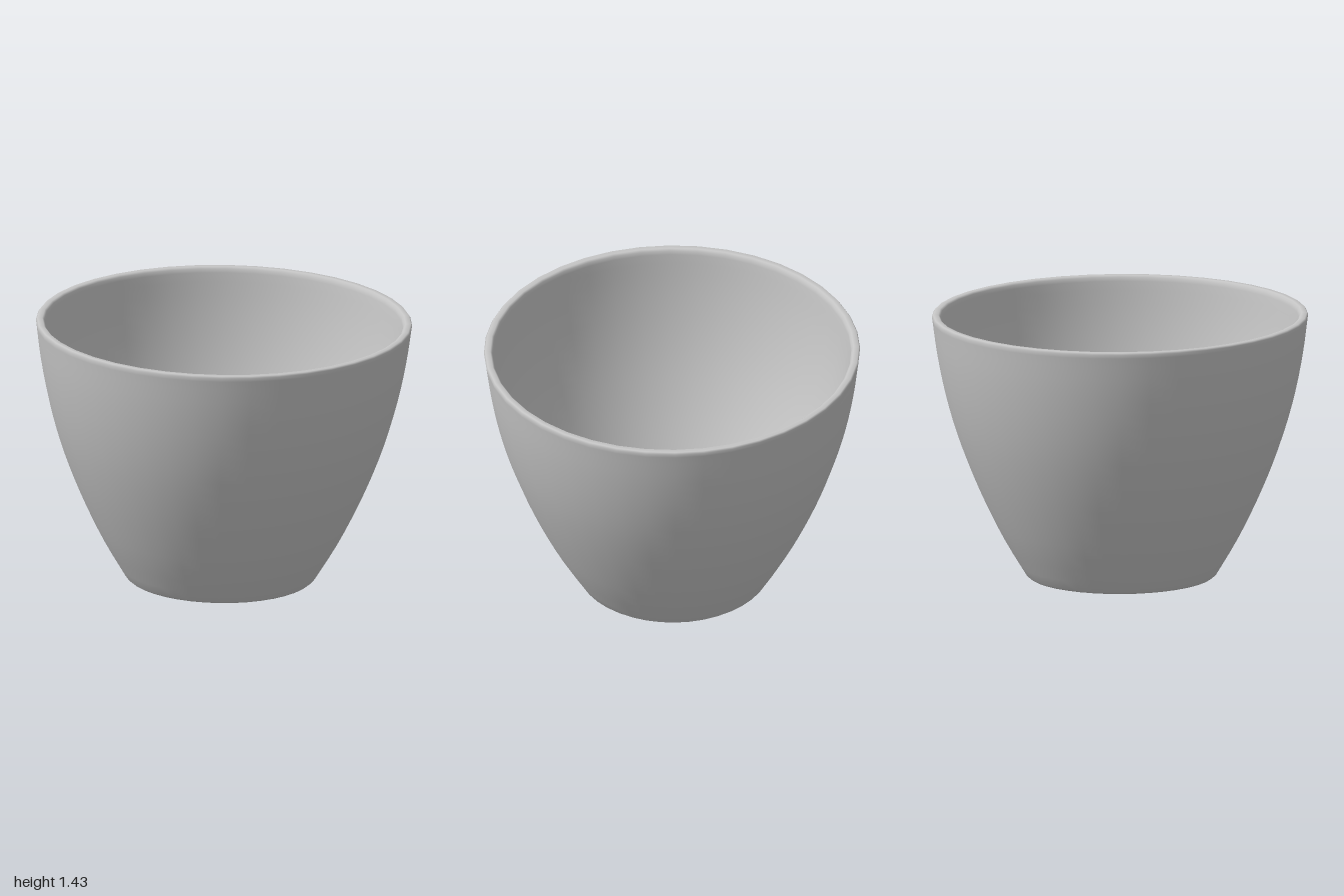
import * as THREE from 'three';
import { toCreasedNormals } from 'three/addons/utils/BufferGeometryUtils.js';

// The pot leans very slightly towards +x and +z.
function lean(geometry) {
  return geometry.translate(0, -0.7, 0).rotateZ(-0.012).rotateX(0.007).translate(0, 0.707, 0);
}

export function createModel() {
  const group = new THREE.Group();
  group.name = 'plantPot';
  const clay = new THREE.MeshStandardMaterial({ color: 0xc6c6c6 });
  clay.name = 'light grey clay';

  // Wall: recessed foot, curved outside, narrow rim, curved inside
  const outer = [[0.505, 0.012], [0.617, 0.2], [0.717, 0.4], [0.803, 0.6],
    [0.874, 0.8], [0.928, 1.0], [0.967, 1.2], [0.991, 1.38]];
  const curve = new THREE.SplineCurve(outer.map(([r, y]) => new THREE.Vector2(r, y)));
  const outside = curve.getPoints(20);
  const inside = outside.filter((p) => p.y > 0.1).reverse()
    .map((p) => new THREE.Vector2(p.x - 0.045, p.y));
  const profile = [
    new THREE.Vector2(0.43, 0.045), new THREE.Vector2(0.465, 0.012),
    new THREE.Vector2(0.49, 0), ...outside,
    new THREE.Vector2(0.994, 1.4), new THREE.Vector2(0.987, 1.41),
    new THREE.Vector2(0.96, 1.41), new THREE.Vector2(0.95, 1.4),
    ...inside, new THREE.Vector2(0.49, 0.08),
  ];
  const wall = new THREE.Mesh(lean(new THREE.LatheGeometry(profile, 40)), clay);
  wall.name = 'wall';
  group.add(wall);

  // Floor with three drainage holes
  const disc = new THREE.Shape().absarc(0, 0, 0.495, 0, Math.PI * 2);
  for (const [x, z] of [[-0.23, -0.18], [0.245, -0.12], [-0.04, 0.265]]) {
    disc.holes.push(new THREE.Path().absarc(x, z, 0.03, 0, Math.PI * 2, true));
  }
  const slab = new THREE.ExtrudeGeometry(disc, { depth: 0.035, bevelEnabled: false, curveSegments: 20 });
  slab.rotateX(Math.PI / 2).translate(0, 0.08, 0);
  const floor = new THREE.Mesh(toCreasedNormals(lean(slab), 0.6), clay);
  floor.name = 'floor';
  group.add(floor);

  return group;
}
